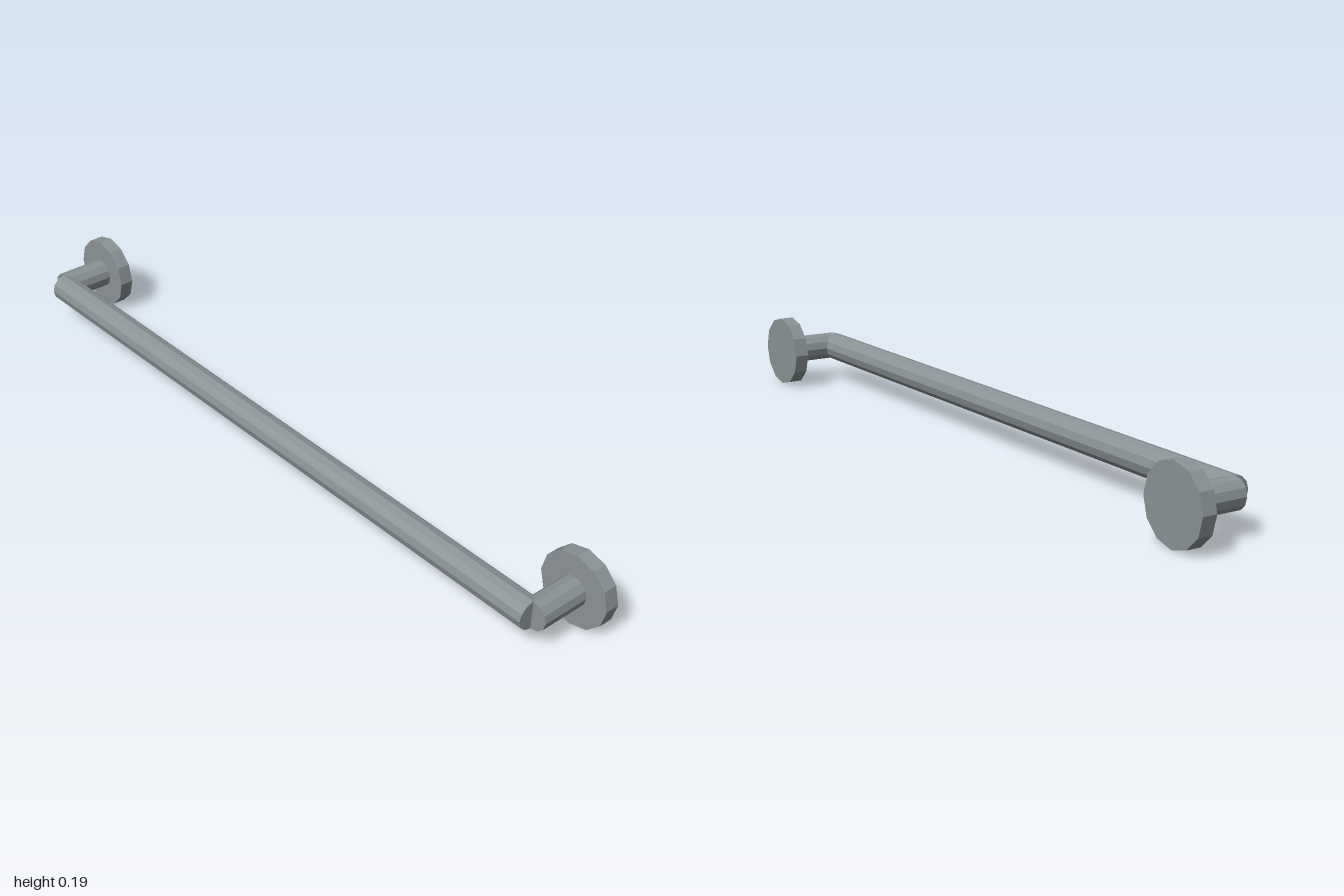
import * as THREE from 'three';

const AXIS_Y = 0.096; // height of the rail and post axes
const POST_X = 0.904;
const RAIL_Z = 0.064;
const BACK_Z = -0.102;
const PLATE_T = 0.037;
const TUBE_R = 0.038;

export function createModel() {
  const group = new THREE.Group();
  group.name = 'wallRail';
  const metal = new THREE.MeshStandardMaterial({ color: 0x8b9396 });
  metal.name = 'brushed metal grey';

  // Twelve-sided faceted cylinder, upright until turned
  const rod = (name, radius, length) => {
    const geometry = new THREE.CylinderGeometry(radius, radius, length, 12).toNonIndexed();
    geometry.computeVertexNormals();
    const mesh = new THREE.Mesh(geometry, metal);
    mesh.name = name;
    group.add(mesh);
    return mesh;
  };

  // Long horizontal rail
  const rail = rod('rail', TUBE_R, 1.804);
  rail.rotation.z = Math.PI / 2;
  rail.position.set(0, AXIS_Y, RAIL_Z);

  // Wall plate and standoff post at each end
  for (const [side, s] of [['left', 1], ['right', -1]]) {
    const plate = rod(`${side}WallPlate`, 0.096, PLATE_T);
    plate.rotation.x = Math.PI / 2;
    plate.position.set(s * POST_X, AXIS_Y, BACK_Z + PLATE_T / 2);

    const postBack = BACK_Z + PLATE_T;
    const post = rod(`${side}Post`, TUBE_R, RAIL_Z - postBack);
    post.rotation.x = Math.PI / 2;
    post.position.set(s * POST_X, AXIS_Y, (RAIL_Z + postBack) / 2);
  }
  return group;
}
